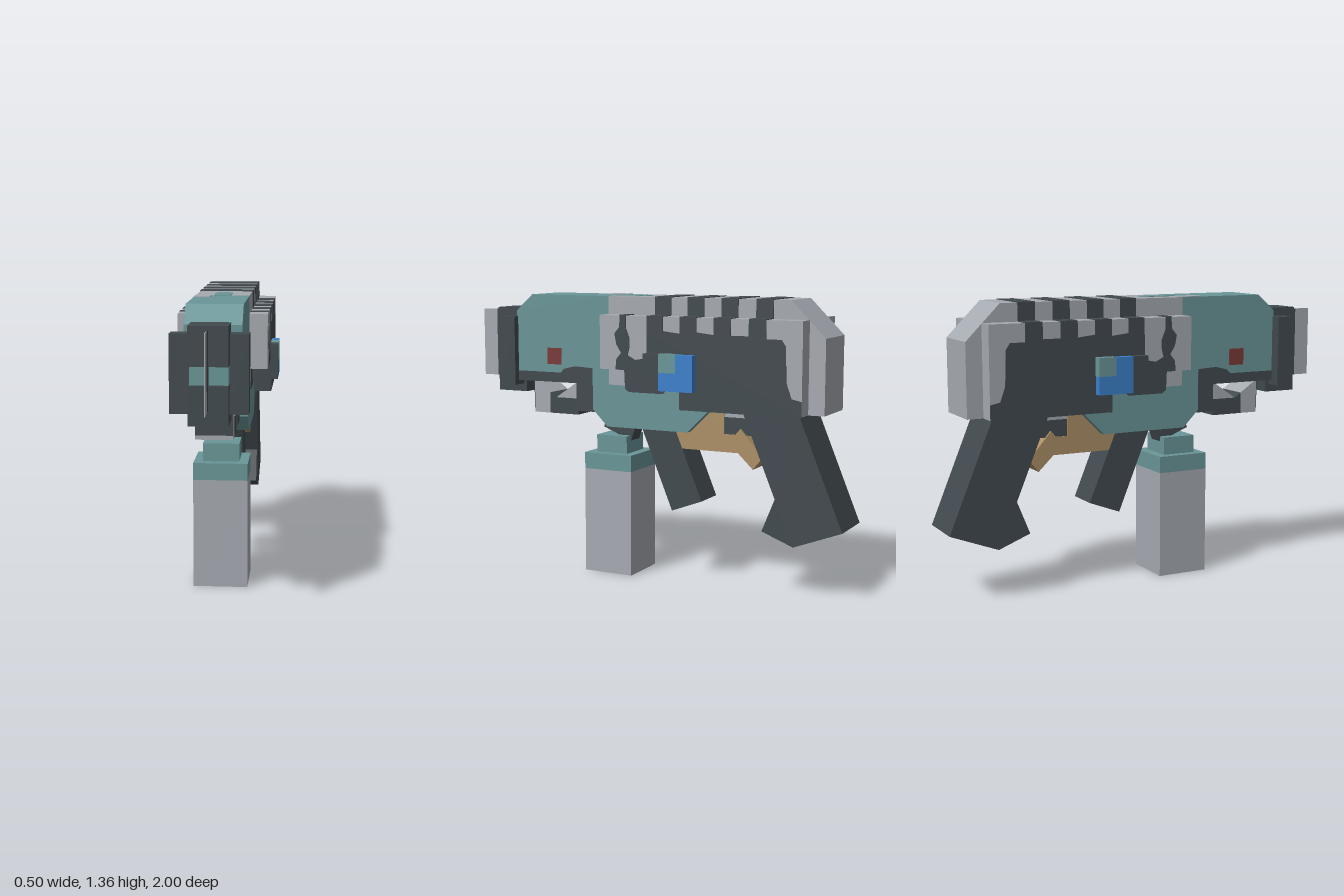
import * as THREE from 'three';

const mat = (name, color) => {
  const m = new THREE.MeshStandardMaterial({ color });
  m.name = name;
  return m;
};

export function createModel() {
  const root = new THREE.Group();
  root.name = 'toyBlaster';
  const teal = mat('teal', 0x6a9698), light = mat('lightGrey', 0xa6aab1), dark = mat('darkGrey', 0x424a4f);
  const red = mat('red', 0x7a3a38), blue = mat('blue', 0x3c80cc), tan = mat('tan', 0xac9068);

  const add = (name, geo, m) => {
    const mesh = new THREE.Mesh(geo, m);
    mesh.name = name;
    root.add(mesh);
    return mesh;
  };
  // Box given by its limits on each axis
  const box = (name, m, [x0, x1], [y0, y1], [z0, z1]) =>
    add(name, new THREE.BoxGeometry(x1 - x0, y1 - y0, z1 - z0)
      .translate((x0 + x1) / 2, (y0 + y1) / 2, (z0 + z1) / 2), m);
  // Side profile of [z, y] points, extruded from x0 to x1
  const prof = (name, m, pts, x0, x1) => {
    const shape = new THREE.Shape(pts.map(([z, y]) => new THREE.Vector2(-z, y)));
    const geo = new THREE.ExtrudeGeometry(shape, { depth: x1 - x0, bevelEnabled: false });
    return add(name, geo.rotateY(Math.PI / 2).translate(x0, 0, 0), m);
  };
  // Same profile on both sides, between distances a and b from the middle
  const pair = (name, m, pts, a, b) => {
    prof(name + 'Left', m, pts, a, b);
    prof(name + 'Right', m, pts, -b, -a);
  };
  const rect = (z0, z1, y0, y1) => [[z0, y0], [z1, y0], [z1, y1], [z0, y1]];
  const W = 0.125, P = 0.21, T = 0.003;

  // Main body
  prof('frontBody', teal, [[0.19, 0.935], [0.71, 0.935], [0.71, 1.28], [0.62, 1.36], [0.19, 1.36]], -W, W);
  prof('rearBody', light, [[0.19, 0.935], [0.19, 1.36], [-0.74, 1.36], [-0.905, 1.195],
    [-0.905, 0.85], [-0.23, 0.85], [-0.23, 0.935]], -W, W);
  prof('lowerBody', teal, [[0.28, 0.935], [0.28, 0.81], [0.2, 0.73], [-0.23, 0.73], [-0.23, 0.935]], -W, W);
  prof('guardWedge', teal, [[-0.23, 0.73], [-0.23, 0.85], [-0.35, 0.85]], -W, W);

  // Raised side panels
  pair('sidePanel', light, [[0.19, 1.02], [0.19, 1.275], [-0.828, 1.275], [-0.828, 0.85],
    [-0.23, 0.85], [-0.23, 0.935], [-0.06, 0.935], [-0.06, 1.02]], W, P);

  // Dark patches on the panels and body
  pair('panelPatch', dark, [[-0.06, 0.935], [-0.06, 1.2], [-0.14, 1.21], [-0.23, 1.2], [-0.31, 1.21], [-0.4, 1.2],
    [-0.57, 1.2], [-0.655, 1.19], [-0.73, 1.19], [-0.75, 1.16], [-0.755, 1.0], [-0.78, 0.93],
    [-0.828, 0.92], [-0.828, 0.85], [-0.23, 0.85], [-0.23, 0.935]], P, P + T);
  pair('dropPatch', dark, [[0.105, 1.02], [0.1, 1.07], [0.075, 1.1], [0.1, 1.14], [0.11, 1.19], [0.085, 1.22],
    [0.08, 1.278], [0.05, 1.278], [0.05, 1.22], [0.03, 1.17], [0.03, 1.13], [0.04, 1.09], [0, 1.07],
    [-0.06, 1.08], [-0.06, 1.02]], P, P + T);
  pair('bodyPatch', dark, [[0.105, 1.02], [0.1, 0.92], [0.08, 0.905], [-0.1, 0.905], [-0.13, 0.935],
    [-0.06, 0.935], [-0.06, 1.02]], W, W + T);
  pair('nosePatch', dark, [[0.71, 0.935], [0.71, 0.98], [0.46, 0.98], [0.44, 1.0], [0.38, 1.015],
    [0.28, 1.01], [0.28, 0.935]], W, W + T);
  pair('redMark', red, rect(0.455, 0.535, 1.02, 1.1), W, W + T);
  box('noseUnderside', dark, [-W, W], [0.932, 0.935], [0.28, 0.71]);
  box('redUnderside', red, [-0.1, 0.1], [0.929, 0.932], [0.4, 0.56]);
  box('rearUnderside', dark, [-P, P], [0.847, 0.85], [-0.828, -0.23]);
  pair('panelStepFront', dark, rect(-0.06, -0.057, 0.935, 1.02), W, P);
  pair('panelStepRear', dark, rect(-0.23, -0.227, 0.85, 0.935), W, P);
  pair('dropPatchTop', dark, rect(0.05, 0.085, 1.27, 1.278), W, P);

  // Stripes wrapped over the top
  for (const z of [-0.103, -0.273, -0.444, -0.615]) {
    const span = [z - 0.042, z + 0.042];
    box('panelStripe', dark, [-P - T, P + T], [1.18, 1.278], span);
    box('topStripe', dark, [-W - T, W + T], [1.27, 1.363], span);
  }

  // Colour border on the top
  box('topTongue', teal, [-0.04, 0.04], [1.36, 1.363], [0.06, 0.19]);
  add('topTongueTip', new THREE.CylinderGeometry(0.04, 0.04, 0.003, 16).translate(0, 1.361, 0.06), teal);
  box('topLightEdge', light, [-W, -0.05], [1.36, 1.363], [0.19, 0.29]);

  // Side buttons, with the coloured face on three sides
  for (const s of [-1, 1]) {
    const side = (a, b) => (s > 0 ? [a, b] : [-b, -a]);
    box('buttonFrame', dark, side(0.2, 0.25), [0.935, 1.105], [-0.14, -0.06]);
    box('button', blue, side(0.2, 0.25), [0.935, 1.105], [-0.312, -0.14]);
    const z = s > 0 ? [-0.227, -0.14] : [-0.314, -0.227];
    box('buttonCorner', teal, side(0.2, 0.252), [1.02, 1.107], z);
  }

  // Muzzle
  box('muzzleTop', dark, [-0.095, 0.077], [1.12, 1.29], [0.69, 0.855]);
  box('muzzleBottom', dark, [-0.095, 0.077], [0.87, 1.04], [0.69, 0.855]);
  box('muzzleCore', teal, [-0.09, 0.075], [1.04, 1.12], [0.69, 0.835]);
  box('muzzleSideRight', dark, [-0.18, -0.095], [0.91, 1.25], [0.705, 0.79]);
  box('muzzleSideLeft', dark, [0.077, 0.158], [0.91, 1.25], [0.705, 0.79]);
  box('muzzleFin', dark, [-0.012, -0.008], [0.935, 1.275], [0.83, 0.92]);
  box('muzzleFinTip', light, [-0.012, -0.008], [0.935, 1.275], [0.92, 1.0]);

  // Notched block under the nose
  prof('underBlockFront', light, [[0.64, 0.77], [0.55, 0.77], [0.55, 0.873], [0.64, 0.935]], -0.085, 0.08);
  prof('underBlockRear', dark, [[0.55, 0.77], [0.39, 0.77], [0.39, 0.85], [0.515, 0.85], [0.55, 0.873]], -0.085, 0.08);
  prof('underBlockRamp', light, [[0.515, 0.85], [0.39, 0.85], [0.39, 0.935]], -0.085, 0.08);
  box('underBlockFace', dark, [-0.085, 0.08], [0.79, 0.932], [0.64, 0.643]);
  box('underBlockMount', dark, [-0.085, 0.085], [0.79, 0.935], [0.28, 0.395]);

  // Bottle with cap and tilted neck
  box('bottle', light, [-0.127, 0.127], [0, 0.515], [0.07, 0.325]);
  box('bottleShoulder', teal, [-0.127, 0.127], [0.515, 0.595], [0.07, 0.325]);
  box('bottleCap', teal, [-0.085, 0.085], [0.595, 0.68], [0.115, 0.28]);
  prof('bottleNeck', dark, [[0.265, 0.715], [0.115, 0.655], [0.08, 0.75], [0.235, 0.8]], -0.045, 0.042);

  // Grips
  prof('frontGrip', dark, [[-0.131, 0.338], [-0.287, 0.397], [-0.137, 0.76], [0.035, 0.74]], -0.085, 0.085);
  prof('rearGrip', dark, [[-0.764, 0.236], [-1, 0.327], [-0.775, 0.87], [-0.5, 0.87]], -W, W);
  prof('gripHeel', dark, [[-0.674, 0.455], [-0.609, 0.295], [-0.764, 0.236]], -0.12, 0.12);

  // Trigger and guard
  prof('triggerGuard', tan, [[-0.12, 0.645], [-0.52, 0.645], [-0.5, 0.73], [-0.4, 0.73], [-0.4, 0.85],
    [-0.29, 0.85], [-0.23, 0.73], [-0.12, 0.73]], -0.085, 0.085);
  box('triggerBase', dark, [-0.08, 0.08], [0.73, 0.81], [-0.54, -0.4]);
  box('triggerBaseTop', light, [-0.08, 0.08], [0.81, 0.85], [-0.54, -0.4]);
  prof('trigger', tan, [[-0.485, 0.76], [-0.598, 0.633], [-0.55, 0.574], [-0.426, 0.692]], -0.09, 0.09);
  return root;
}
